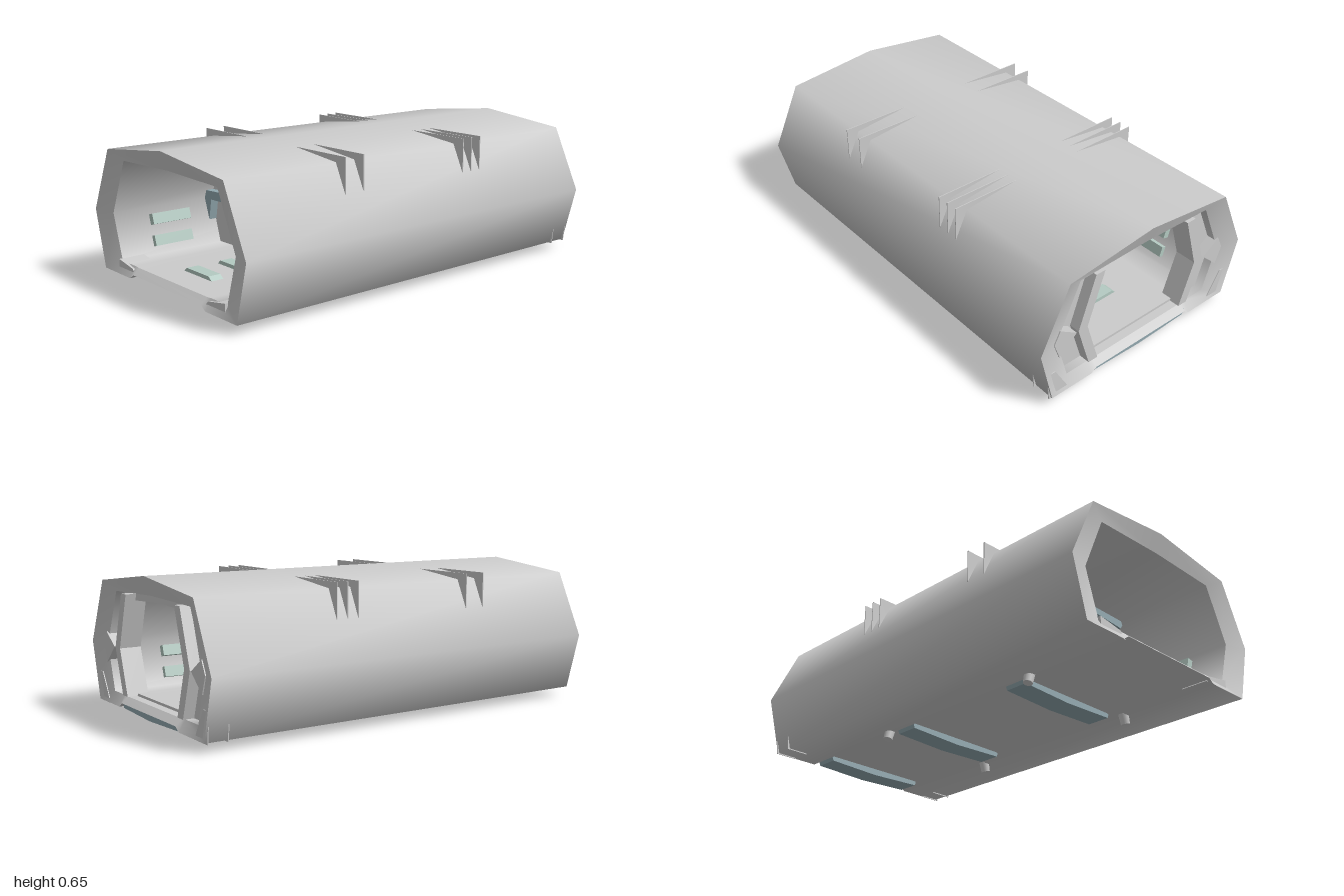
import * as THREE from 'three';

const grey = new THREE.MeshStandardMaterial({ color: 0xcccccc, side: THREE.DoubleSide });
const teal = new THREE.MeshStandardMaterial({ color: 0x93a9b0 });
const glow = new THREE.MeshStandardMaterial({ color: 0xb4cac2 });

// Mirror a right half outline (top to bottom) into a closed loop
const mirrorLoop = (half) => [
  ...half,
  ...half.filter(([x]) => x !== 0).reverse().map(([x, y]) => [-x, y]),
];
const OUTER = mirrorLoop([[0, 0.65], [0.45, 0.6], [0.59, 0.305], [0.52, 0.04], [0.3, 0.04], [0.27, 0.06]]);
const INNER = mirrorLoop([[0, 0.565], [0.365, 0.555], [0.48, 0.3], [0.415, 0.09], [0.3, 0.09], [0.27, 0.088]]);
const DOOR = mirrorLoop([[0, 0.35], [0.14, 0.345], [0.17, 0.305], [0.36, 0.3], [0.29, 0.1]]);
const REAR_DOOR = mirrorLoop([[0, 0.53], [0.25, 0.52], [0.35, 0.3], [0.27, 0.1]]);

// Skin a strip through successive {loop, z} sections
function skin(sections) {
  const pos = [], idx = [], n = sections[0].loop.length;
  for (const { loop, z } of sections) for (const [x, y] of loop) pos.push(x, y, z);
  for (let s = 0; s < sections.length - 1; s++) {
    for (let i = 0; i < n; i++) {
      const j = (i + 1) % n, a = s * n + i, b = s * n + j, c = a + n, d = b + n;
      idx.push(a, c, b, b, c, d);
    }
  }
  const g = new THREE.BufferGeometry();
  g.setAttribute('position', new THREE.Float32BufferAttribute(pos, 3));
  g.setIndex(idx);
  g.computeVertexNormals();
  return g;
}

// Extrude an outline from z0 to z1 with an optional hole
function slab(points, z0, z1, hole) {
  const v = (list) => list.map(([x, y]) => new THREE.Vector2(x, y));
  const shape = new THREE.Shape(v(points));
  if (hole) shape.holes.push(new THREE.Path(v(hole)));
  return new THREE.ExtrudeGeometry(shape, { depth: z1 - z0, bevelEnabled: false }).translate(0, 0, z0);
}

export function createModel() {
  const model = new THREE.Group();
  const add = (name, geometry, material = grey) => {
    const mesh = new THREE.Mesh(geometry, material);
    mesh.name = name;
    model.add(mesh);
    return mesh;
  };

  // Corridor shell: outside, two end lips and the inside
  add('outerShell', skin([{ loop: OUTER, z: -1 }, { loop: OUTER, z: 1 }].reverse()));
  add('frontLip', skin([{ loop: INNER, z: 0.97 }, { loop: OUTER, z: 1 }]));
  add('rearLip', skin([{ loop: OUTER, z: -1 }, { loop: INNER, z: -0.97 }]));
  add('innerShell', skin([{ loop: INNER, z: -0.97 }, { loop: INNER, z: 0.97 }]));

  // Two bulkheads with stepped doorways and thin plates that poke through the shell
  const plate = mirrorLoop([[0, 0.63], [0.51, 0.63], [0.51, 0.06], [0, 0.06]]);
  for (const [z0, z1, plates] of [[0.34, 0.44, [0.34, 0.44]], [-0.37, -0.26, [-0.37, -0.315, -0.26]]]) {
    const core = OUTER.map(([x, y]) => [x * 0.9, 0.33 + (y - 0.33) * 0.85]);
    add('bulkhead', slab(core, z0, z1, DOOR));
    for (const z of plates) add('bulkheadPlate', slab(plate, z - 0.002, z + 0.002, DOOR));
  }

  // Rear frame with bent pillars and low corner fins
  add('rearFrame', slab(INNER.map(([x, y]) => [x * 1.04, y]), -0.93, -0.88, REAR_DOOR));
  for (const s of [1, -1]) {
    const pillar = [[0.25, 0.09], [0.32, 0.3], [0.24, 0.55], [0.29, 0.55], [0.37, 0.3], [0.3, 0.09]];
    add('rearPillar', slab(pillar.map(([x, y]) => [x * s, y]), -0.98, -0.88));
    const brace = [[0.38, 0.3], [0.47, 0.36], [0.5, 0.3], [0.47, 0.22]];
    add('rearBrace', slab(brace.map(([x, y]) => [x * s, y]), -0.98, -0.92));
    for (const z of [-0.9, -0.99]) {
      const fin = [[0.42, 0.035], [0.53, 0.035], [0.545, 0.17], [0.5, 0.17]];
      add('cornerFin', slab(fin.map(([x, y]) => [x * s, y]), z - 0.002, z + 0.002));
    }
  }

  // Door headers, ceiling panels and the fitting above each doorway
  const header = mirrorLoop([[0, 0.4], [0.2, 0.385], [0.215, 0.35], [0.46, 0.34], [0.475, 0.3],
    [0.44, 0.2], [0.42, 0.3], [0.17, 0.305], [0.14, 0.345], [0, 0.355]]);
  for (const [face, dir] of [[0.445, 1], [-0.375, -1]]) {
    const z0 = dir > 0 ? face : face - 0.04;
    add('doorHeader', slab(header, z0, z0 + 0.04), teal);
    for (const s of [1, -1]) {
      const panel = [[0.15, 0.56], [0.165, 0.53], [0.36, 0.515], [0.385, 0.555]];
      add('ceilingPanel', slab(panel.map(([x, y]) => [x * s, y]), z0, z0 + 0.04), teal);
    }
    const zc = face + dir * 0.03;
    add('doorFitting', new THREE.BoxGeometry(0.08, 0.085, 0.07), glow).position.set(0, 0.4, zc);
    add('headerLamp', new THREE.BoxGeometry(0.23, 0.04, 0.03), glow).position.set(0, 0.5, face + dir * 0.01);
    add('threshold', new THREE.BoxGeometry(0.62, 0.03, 0.1)).position.set(0, 0.1, face - dir * 0.055);
  }

  // Floor lamps across the corridor
  for (const z of [0.81, 0.635, 0.12, -0.05, -0.55, -0.7]) {
    add('floorLamp', slab([[-0.11, 0.085], [0.11, 0.085], [0.085, 0.105], [-0.085, 0.105]], z - 0.03, z + 0.03), glow);
  }

  // Wall lamps, two rows on each side
  for (const s of [1, -1]) {
    for (const z of [0.7, 0.04, -0.62]) {
      for (const [x, y] of [[0.44, 0.25], [0.425, 0.15]]) {
        const lamp = add('wallLamp', new THREE.BoxGeometry(0.03, 0.05, 0.2), glow);
        lamp.position.set(x * s, y, z);
        lamp.rotation.z = -0.3 * s;
      }
    }
  }

  // Sloped curbs in the corners of the front mouth
  for (const s of [1, -1]) {
    const curb = [[0.27, 0.05], [0.42, 0.05], [0.42, 0.1], [0.3, 0.08]];
    add('frontCurb', slab(curb.map(([x, y]) => [x * s, y]), 0.86, 0.985));
  }

  // Shallow V cross members under the floor
  const cross = mirrorLoop([[0, 0.065], [0.28, 0.065], [0.27, 0.038], [0, 0.028]]);
  for (const [z0, z1] of [[0.34, 0.45], [-0.37, -0.26], [-0.99, -0.88]]) add('crossMember', slab(cross, z0, z1), teal);

  // Splayed round feet
  for (const s of [1, -1]) {
    for (const z of [0.51, -0.39]) {
      const foot = add('foot', new THREE.CylinderGeometry(0.024, 0.021, 0.05, 16));
      foot.position.set(s * 0.315, 0.027, z);
      foot.rotation.z = s * 0.25;
    }
  }
  return model;
}
